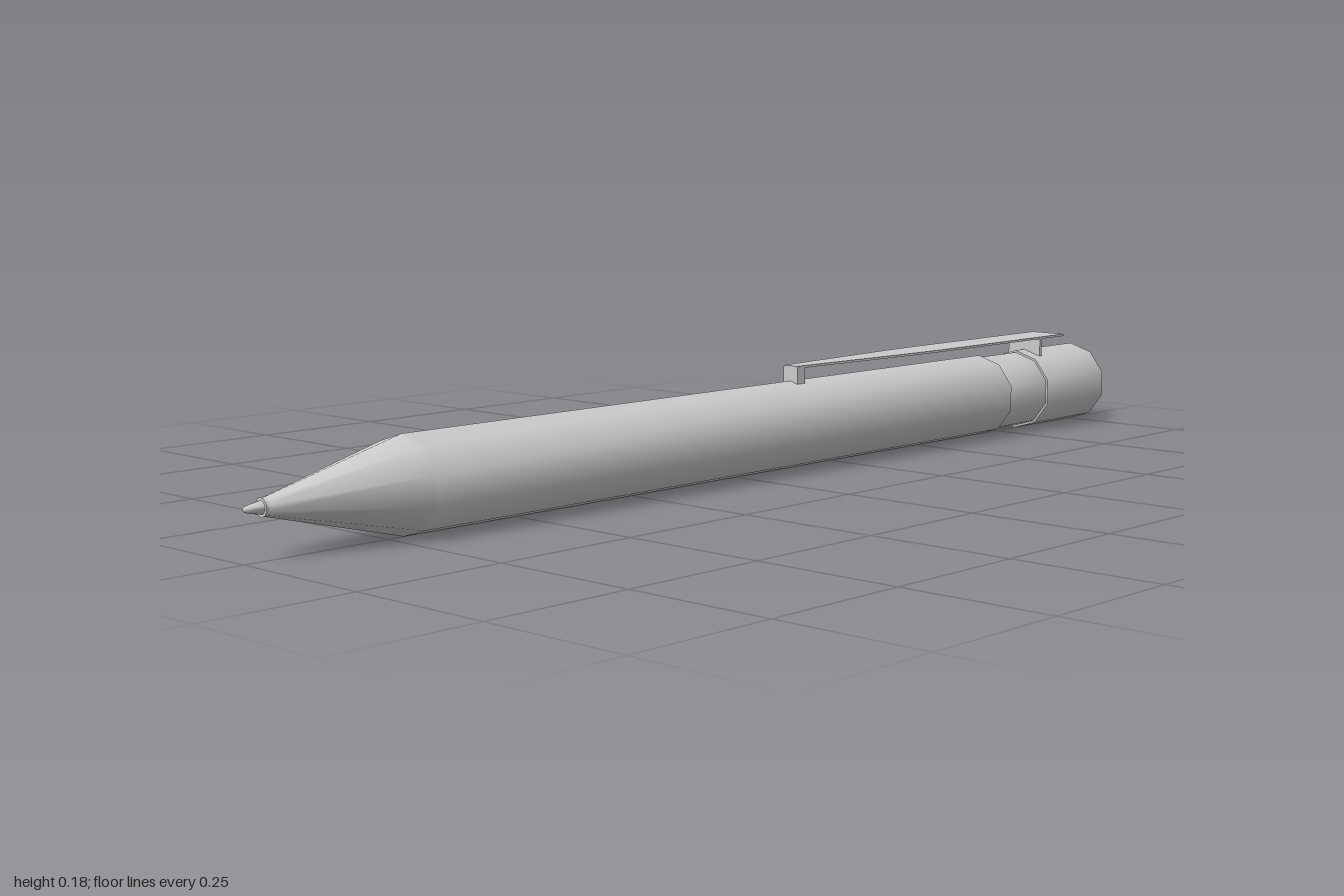
import * as THREE from 'three';
import { toCreasedNormals } from 'three/addons/utils/BufferGeometryUtils.js';

const AXIS_Y = 0.078;
const material = new THREE.MeshStandardMaterial({ color: 0xcccccc });

// Turned part along z: profile of [radius, z] from back to front
function turned(name, profile, sides = 10, stretch = 1.06) {
  const points = profile.map(([r, z]) => new THREE.Vector2(r, z));
  const geometry = new THREE.LatheGeometry(points, sides);
  geometry.rotateX(Math.PI / 2).scale(stretch, 1, 1).translate(0, AXIS_Y, 0);
  const mesh = new THREE.Mesh(toCreasedNormals(geometry, 0.7), material);
  mesh.name = name;
  return mesh;
}

function box(name, w, h, d, y, z) {
  const mesh = new THREE.Mesh(new THREE.BoxGeometry(w, h, d), material);
  mesh.name = name;
  mesh.position.set(0, y, z);
  return mesh;
}

// Flat, tapering clip plate lying just above the barrel
function clipPlate() {
  const half = [[0.037, 0.92], [0.037, 0.52], [0.034, 0.44], [0.015, 0.14]];
  const outline = [...half, ...half.map(([x, y]) => [-x, y]).reverse()];
  const shape = new THREE.Shape(outline.map(([x, y]) => new THREE.Vector2(x, y)));
  const geometry = new THREE.ExtrudeGeometry(shape, { depth: 0.004, bevelEnabled: false });
  geometry.rotateX(-Math.PI / 2);
  const mesh = new THREE.Mesh(geometry, material);
  mesh.name = 'clipPlate';
  mesh.position.y = 0.177;
  return mesh;
}

export function createModel() {
  const pen = new THREE.Group();
  pen.name = 'pen';

  // Body sections
  pen.add(
    turned('endCap', [[0, -1], [0.0765, -1], [0.0765, -0.81], [0.071, -0.81]]),
    turned('grooveBand', [[0.0725, -0.815], [0.0725, -0.685]]),
    turned('barrel', [[0.071, -0.69], [0.0765, -0.69], [0.0765, 0.72]]),
    turned('noseCone', [[0.0765, 0.72], [0.013, 0.967], [0, 0.967]]),
  );

  // Writing tip
  pen.add(turned('writingTip',
    [[0.014, 0.955], [0.014, 0.969], [0.01, 0.969], [0.007, 0.985], [0.004, 0.996], [0, 1]], 16, 1));

  // Clip with its rear post and front foot
  const clip = new THREE.Group();
  clip.name = 'clip';
  clip.add(
    clipPlate(),
    box('clipPost', 0.074, 0.042, 0.006, 0.157, -0.842),
    box('clipFoot', 0.032, 0.029, 0.02, 0.1635, -0.15),
  );
  pen.add(clip);

  return pen;
}
